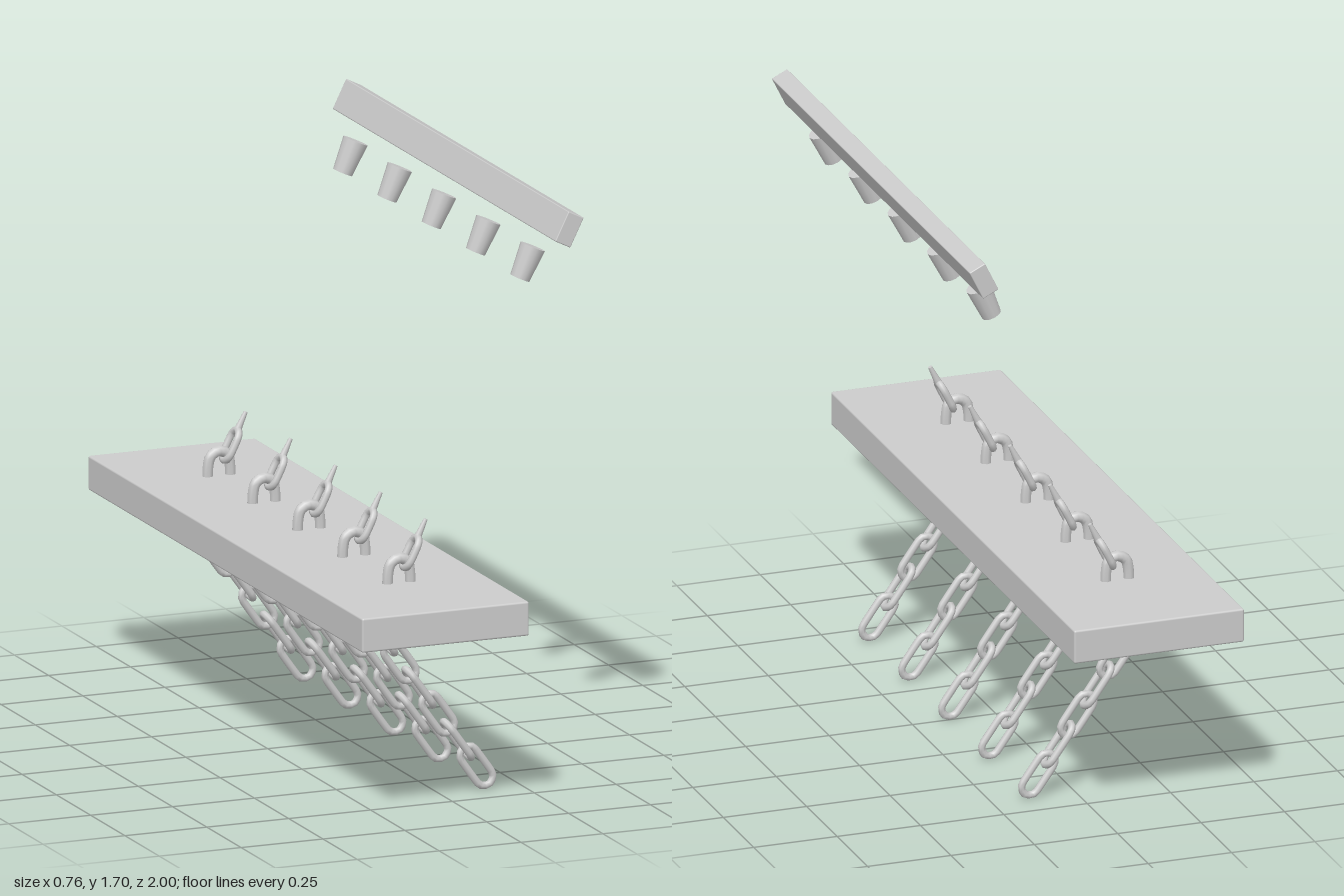
import * as THREE from 'three';
import { RoundedBoxGeometry } from 'three/addons/geometries/RoundedBoxGeometry.js';

const material = new THREE.MeshStandardMaterial({ color: 0xcccccc });

function add(parent, name, geometry, x = 0, y = 0, z = 0) {
  const mesh = new THREE.Mesh(geometry, material);
  mesh.name = name;
  mesh.position.set(x, y, z);
  parent.add(mesh);
  return mesh;
}

// Closed oval ring: straight sides of half-length h, end arcs of radius r
function ovalGeometry(h, r, thickness) {
  const points = [];
  for (const [start, y] of [[0, h], [Math.PI, -h]]) {
    for (let i = 0; i <= 4; i++) {
      const a = start + (i / 4) * Math.PI;
      points.push(new THREE.Vector3(Math.cos(a) * r, y + Math.sin(a) * r, 0));
    }
  }
  const curve = new THREE.CatmullRomCurve3(points, true, 'catmullrom', 0.25);
  return new THREE.TubeGeometry(curve, 24, thickness, 8, true);
}

export function createModel() {
  const model = new THREE.Group();
  model.name = 'chainRack';

  // Main plank with softened edges
  add(model, 'plank', new RoundedBoxGeometry(0.51, 0.1, 2, 2, 0.006), -0.125, 0.585, 0);

  // Tilted upper bar
  const bar = add(model, 'upperBar', new RoundedBoxGeometry(0.052, 0.093, 1.625, 2, 0.003), 0.333, 1.651, -0.003);
  bar.rotation.z = -0.46;

  const linkGeometry = ovalGeometry(0.043, 0.026, 0.011);
  const eyeGeometry = ovalGeometry(0.022, 0.025, 0.011);
  const pinGeometry = new THREE.CylinderGeometry(0.006, 0.011, 0.055, 8);
  const pegGeometry = new THREE.CylinderGeometry(0.037, 0.029, 0.097, 12);

  // Staple: an arch with both legs sunk into the plank
  const arch = [[-0.036, -0.1], [-0.035, 0.03], [-0.026, 0.058], [0, 0.07], [0.024, 0.058], [0.031, 0.03], [0.032, -0.1]];
  const stapleGeometry = new THREE.TubeGeometry(
    new THREE.CatmullRomCurve3(arch.map(([x, y]) => new THREE.Vector3(x, y, 0)), false, 'centripetal'),
    28, 0.016, 8);

  for (let i = -2; i <= 2; i++) {
    const z = i * 0.328;

    // Peg under the upper bar
    add(model, 'peg', pegGeometry, 0.269, 1.524, i * 0.323).rotation.z = -0.42;

    // Staple on top of the plank
    add(model, 'staple', stapleGeometry, -0.122, 0.635, z);

    // Eye and tapered pin passing through the staple
    const eyePin = new THREE.Group();
    eyePin.name = 'eyePin';
    eyePin.position.set(-0.088, 0.718, z);
    eyePin.rotation.z = -0.46;
    add(eyePin, 'eye', eyeGeometry).rotation.y = Math.PI / 2;
    add(eyePin, 'pin', pinGeometry, 0, 0.076, 0);
    model.add(eyePin);

    // Slanted hanging chain, alternate links turned a quarter
    const chain = new THREE.Group();
    chain.name = 'chain';
    chain.position.set(-0.18, 0.487, z);
    chain.rotation.z = 0.62;
    for (let k = 0; k < 6; k++) {
      add(chain, 'chainLink', linkGeometry, 0, -k * 0.1006, 0).rotation.y = k % 2 ? 0 : Math.PI / 2;
    }
    model.add(chain);
  }
  return model;
}
